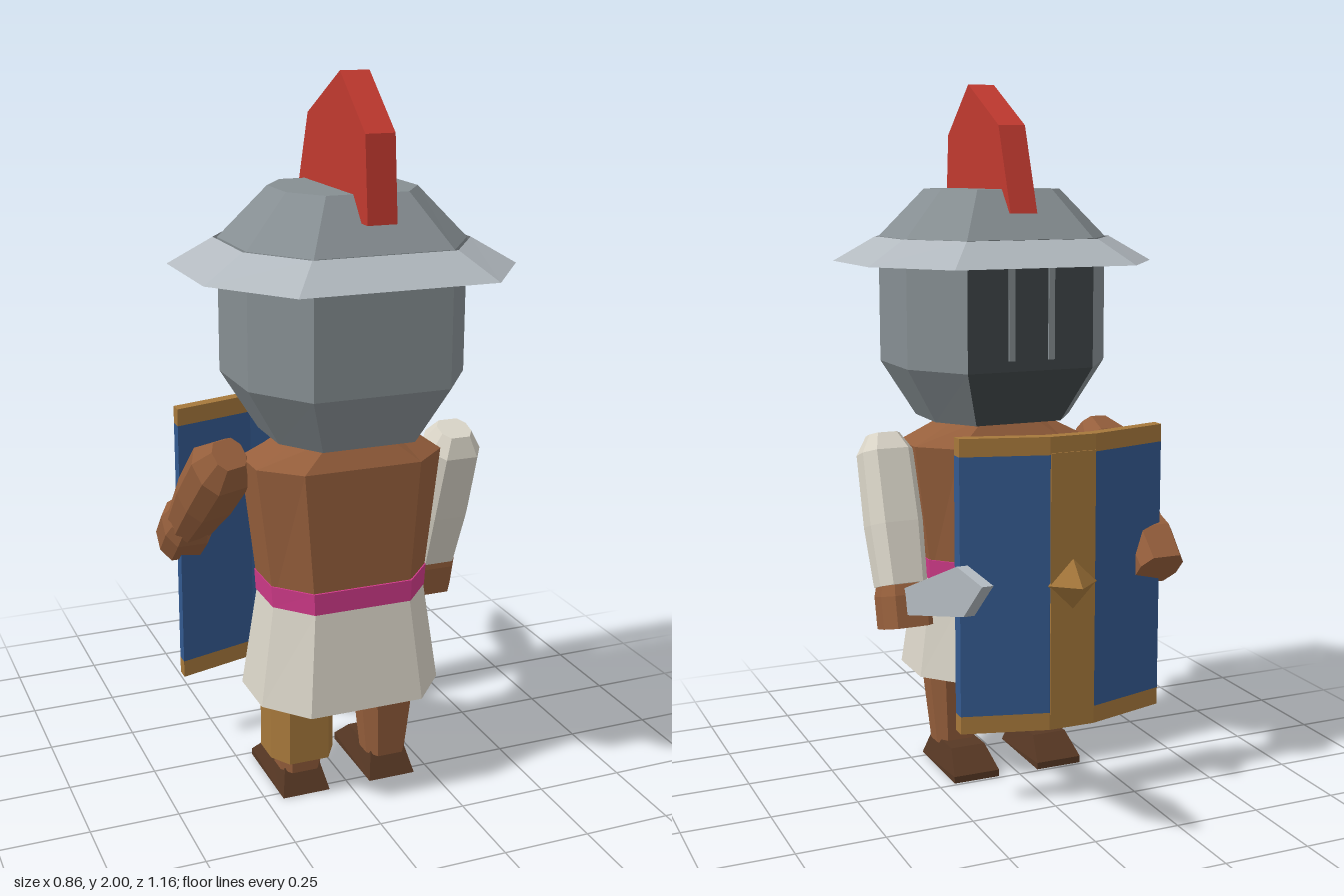
import * as THREE from 'three';

const mat = (name, color) => Object.assign(new THREE.MeshStandardMaterial({ color }), { name });

export function createModel() {
  const steel = mat('steel', 0x868e92), brightSteel = mat('bright steel', 0xb2b9bf);
  const darkSteel = mat('dark steel', 0x404648), red = mat('red', 0xc0392f);
  const skin = mat('skin', 0x965f3c), leather = mat('dark leather', 0x573824);
  const cloth = mat('cream cloth', 0xd9d4c7), pink = mat('magenta', 0xcf3a88);
  const gold = mat('gold', 0xa6783b), blue = mat('blue', 0x33598f);
  brightSteel.side = cloth.side = THREE.DoubleSide;

  const model = new THREE.Group();
  const add = (name, geometry, material, x = 0, y = 0, z = 0) => {
    const mesh = new THREE.Mesh(geometry, material);
    mesh.name = name;
    mesh.position.set(x, y, z);
    model.add(mesh);
    return mesh;
  };

  // Flat-shaded eight-sided loft; rings are [y, halfX, halfZ], sides picks faces (6 is -z)
  const ALL = [0, 1, 2, 3, 4, 5, 6, 7];
  const loft = (rings, { sides = ALL, bottom = true, top = true } = {}) => {
    const loops = rings.map(([y, hx, hz]) => {
      const ax = hx * 0.62, bz = hz * 0.42;
      return [[hx, -bz], [hx, bz], [ax, hz], [-ax, hz], [-hx, bz], [-hx, -bz], [-ax, -hz], [ax, -hz]]
        .map(([x, z]) => [x, y, z]);
    });
    const out = [];
    const tri = (...corners) => corners.forEach((c) => out.push(...c));
    for (let r = 0; r < loops.length - 1; r++) {
      for (const k of sides) {
        const n = (k + 1) % 8, lo = loops[r], hi = loops[r + 1];
        tri(lo[k], hi[k], lo[n]);
        tri(lo[n], hi[k], hi[n]);
      }
    }
    const last = loops[loops.length - 1];
    for (let k = 1; k < 7; k++) {
      if (bottom) tri(loops[0][0], loops[0][k], loops[0][k + 1]);
      if (top) tri(last[0], last[k + 1], last[k]);
    }
    const g = new THREE.BufferGeometry();
    g.setAttribute('position', new THREE.Float32BufferAttribute(out, 3));
    g.computeVertexNormals();
    return g;
  };

  // Loft stretched between two points
  const limb = (name, from, to, radii, material) => {
    const a = new THREE.Vector3(...from), d = new THREE.Vector3(...to).sub(a);
    const len = d.length();
    const mesh = add(name, loft(radii.map(([t, r]) => [t * len, r, r])), material, ...from);
    mesh.quaternion.setFromUnitVectors(new THREE.Vector3(0, 1, 0), d.normalize());
    return mesh;
  };

  const extrude = (points, depth) => new THREE.ExtrudeGeometry(
    new THREE.Shape(points.map(([a, b]) => new THREE.Vector2(a, b))), { depth, bevelEnabled: false });

  // Side profile of [z, y] points given a width in x
  const sidePlate = (points, width) =>
    extrude(points, width).translate(0, 0, -width / 2).rotateY(-Math.PI / 2);

  const CZ = 0.2; // depth of the body axis

  // Helmet with dark face plate
  const shell = [[1.05, 0.21, 0.195], [1.21, 0.305, 0.28], [1.57, 0.305, 0.28]];
  add('helmetShell', loft(shell, { sides: [0, 1, 2, 3, 4, 5, 7], top: false }), steel, 0, 0, CZ);
  add('helmetVisor', loft(shell, { sides: [6], bottom: false, top: false }), darkSteel, 0, 0, CZ);
  add('helmetDome', loft([[1.57, 0.305, 0.28], [1.705, 0.182, 0.168]], { bottom: false }), steel, 0, 0, CZ);
  add('helmetBrim', loft([[1.5, 0.43, 0.385], [1.57, 0.315, 0.29]], { bottom: false, top: false }),
    brightSteel, 0, 0, CZ - 0.003);
  for (const x of [-0.06, 0.06]) {
    add('visorSlit', new THREE.BoxGeometry(0.018, 0.26, 0.008), steel, x, 1.37, CZ - 0.282);
  }
  add('crest', sidePlate([[0.46, 1.64], [0.44, 1.86], [0.277, 2], [0.055, 1.88], [-0.03, 1.64]], 0.08), red);

  // Torso, belt and skirt
  add('torso', loft([[0.6, 0.222, 0.16], [0.98, 0.268, 0.16], [1.055, 0.12, 0.115]]), skin, 0, 0, CZ);
  add('belt', loft([[0.585, 0.226, 0.166], [0.645, 0.23, 0.166]]), pink, 0, 0, CZ);
  add('skirt', loft([[0.3, 0.265, 0.2], [0.585, 0.224, 0.164]], { bottom: false, top: false }), cloth, 0, 0, CZ);

  // Legs and boots
  const boot = sidePlate([[0.28, 0], [0.245, 0.075], [0.08, 0.08], [0.01, 0.02], [0.01, 0]], 0.14);
  const bp = boot.attributes.position;
  for (let i = 0; i < bp.count; i++) if (bp.getY(i) > 0.05) bp.setX(i, bp.getX(i) * 0.75);
  boot.computeVertexNormals();
  for (const x of [-0.132, 0.132]) {
    add('leg', loft([[0.065, 0.06, 0.06], [0.3, 0.085, 0.083], [0.42, 0.085, 0.083]]), skin, x, 0, 0.205);
    add('boot', boot, leather, x);
  }
  add('greave', loft([[0.115, 0.093, 0.1], [0.28, 0.093, 0.1]]), gold, -0.132, 0, 0.2);

  // Sleeved sword arm
  limb('sleeve', [0.34, 1.01, 0.205], [0.34, 0.6, 0.065],
    [[0, 0.045], [0.12, 0.075], [0.6, 0.078], [1, 0.07]], cloth);
  limb('swordHand', [0.34, 0.605, 0.06], [0.34, 0.487, 0.03], [[0, 0.066], [0.25, 0.073], [1, 0.073]], skin);
  add('swordBlade', sidePlate(
    [[0.03, 0.595], [0.02, 0.525], [-0.455, 0.65], [-0.58, 0.76], [-0.41, 0.77]], 0.03), brightSteel, 0.34);

  // Bare shield arm
  limb('shieldArm', [-0.31, 1.0, 0.17], [-0.345, 0.72, -0.1],
    [[0, 0.045], [0.18, 0.078], [0.6, 0.075], [1, 0.06]], skin);
  limb('shieldHand', [-0.345, 0.74, -0.09], [-0.345, 0.635, -0.2], [[0, 0.06], [0.3, 0.072], [1, 0.068]], skin);

  // Bent shield, cut from one plan outline into stacked slabs
  const plan = [[-0.365, -0.165], [-0.125, -0.232], [0.012, -0.232], [0.25, -0.165],
    [0.25, -0.127], [0.012, -0.195], [-0.125, -0.195], [-0.365, -0.127]];
  const slab = (name, y0, y1, material) =>
    add(name, extrude(plan, y1 - y0).rotateX(Math.PI / 2), material, 0, y1);
  slab('shieldPanel', 0.27, 1.0, blue);
  slab('shieldRim', 0.22, 0.27, gold);
  slab('shieldRim', 1.0, 1.05, gold);
  add('shieldStrip', new THREE.BoxGeometry(0.135, 0.74, 0.008), gold, -0.057, 0.635, -0.232);
  const boss = new THREE.ConeGeometry(0.075, 0.065, 4).toNonIndexed();
  boss.computeVertexNormals();
  add('shieldBoss', boss.rotateX(-Math.PI / 2), gold, -0.057, 0.635, -0.265);

  return model;
}
